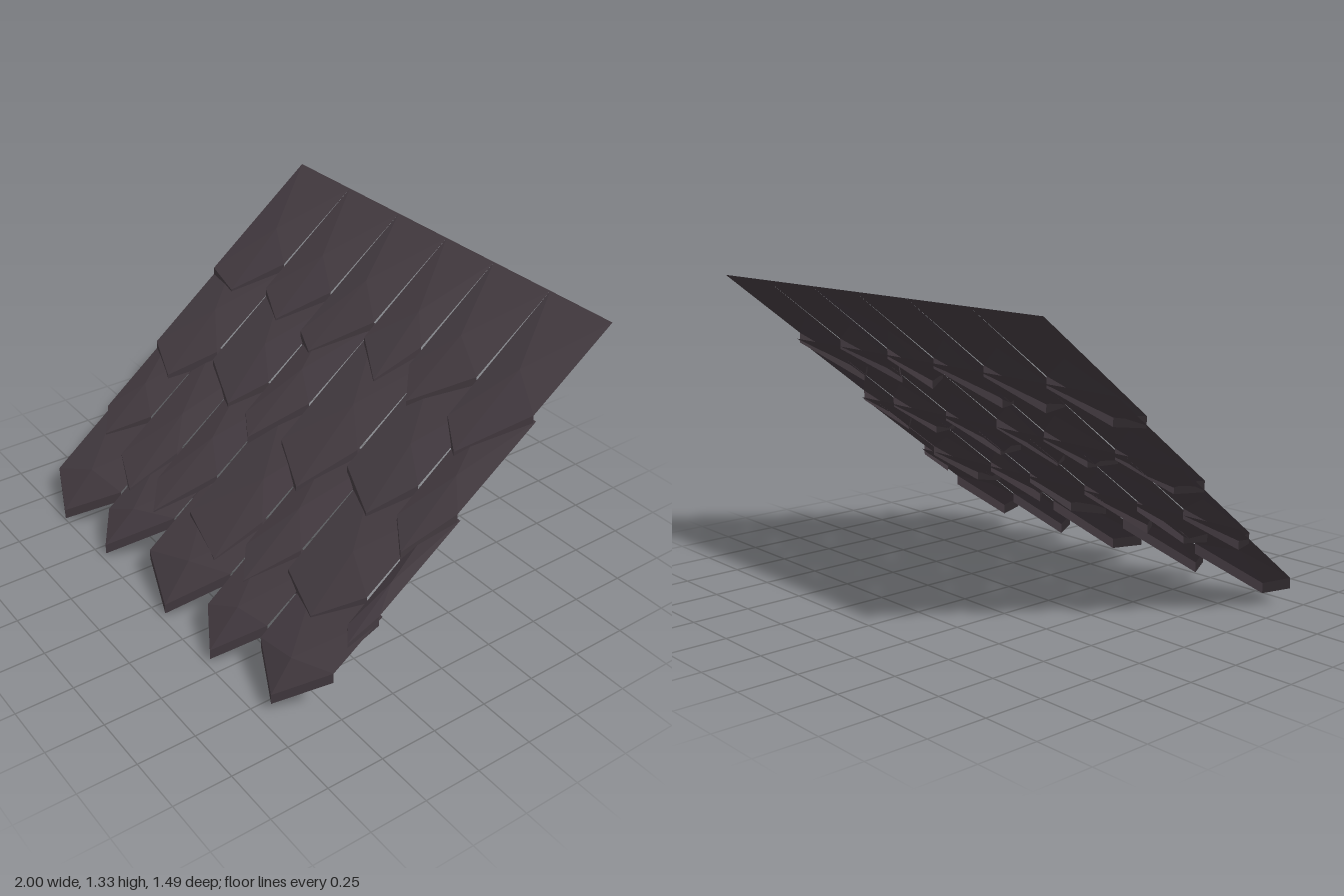
import * as THREE from 'three';

const PITCH = 0.775;   // drop per unit of depth along a shingle
const LIP = 0.045;     // height of the hanging front edge
const GAP = 0.006;     // inset of the lower corners, opens a tapering slit

// Each row: back edge (z, y), seams along x, and per shingle
// [left corner z, tip x, tip z, right corner z]
const ROWS = [
  { name: 'topRow', z: -0.745, y: 1.33, tipPitch: 0.785,
    seams: [-1, -0.625, -0.27, 0.05, 0.345, 0.67, 1],
    tiles: [[-0.23, -0.8, -0.2, -0.38], [-0.27, -0.44, -0.2, -0.38], [-0.21, -0.15, -0.17, -0.37],
      [-0.31, 0.25, -0.21, -0.38], [-0.31, 0.46, -0.21, -0.39], [-0.24, 0.81, -0.16, -0.38]] },
  { name: 'upperMiddleRow', z: -0.39, y: 1.02, tipPitch: 0.785,
    seams: [-1, -0.615, -0.23, 0.04, 0.415, 0.77, 1],
    tiles: [[0.1, -0.78, 0.17, 0], [0.03, -0.35, 0.12, -0.02], [0.11, -0.12, 0.17, -0.04],
      [0.11, 0.28, 0.2, -0.01], [0.05, 0.65, 0.13, -0.03], [0.08, 0.9, 0.16, -0.03]] },
  { name: 'lowerMiddleRow', z: -0.04, y: 0.71, tipPitch: 0.785,
    seams: [-1, -0.705, -0.415, -0.13, 0.243, 0.5, 0.9, 1],
    tiles: [[0.38, -0.88, 0.46, 0.31], [0.48, -0.51, 0.55, 0.35], [0.46, -0.3, 0.55, 0.32],
      [0.47, 0.16, 0.53, 0.34], [0.43, 0.36, 0.52, 0.33], [0.4, 0.74, 0.46, 0.31], [0.41, 0.96, 0.45, 0.33]] },
  { name: 'bottomRow', z: 0.31, y: 0.41, tipPitch: 0.83,
    seams: [-1, -0.553, -0.185, 0.272, 0.597, 0.99],
    tiles: [[0.66, -0.79, 0.745, 0.57], [0.64, -0.43, 0.73, 0.51], [0.645, 0.08, 0.73, 0.52],
      [0.64, 0.43, 0.73, 0.56], [0.6, 0.81, 0.695, 0.53]] },
];

// Pointed sheet fanned around a raised middle, with a lip hanging from its front edges
function shingleGeometry(row, x0, x1, [leftZ, tipX, tipZ, rightZ]) {
  const at = (x, z, pitch) => [x, row.y - (z - row.z) * pitch, z];
  const backLeft = [x0, row.y, row.z], backRight = [x1, row.y, row.z];
  const left = at(x0 + GAP, leftZ, PITCH);
  const tip = at(tipX, tipZ, row.tipPitch);
  const right = at(x1 - GAP, rightZ, PITCH);
  const middle = [((x0 + x1) / 2 + tipX) / 2, row.y - 0.19, row.z + 0.285];

  const corners = [];
  const rim = [backLeft, left, tip, right, backRight];
  rim.forEach((p, i) => corners.push(middle, p, rim[(i + 1) % rim.length]));

  const below = ([x, y, z]) => [x, Math.max(0, y - LIP), z];
  for (const [a, b] of [[left, tip], [tip, right]]) {
    corners.push(a, below(a), below(b), a, below(b), b);
  }
  const geometry = new THREE.BufferGeometry();
  geometry.setAttribute('position', new THREE.Float32BufferAttribute(corners.flat(), 3));
  geometry.computeVertexNormals();
  return geometry;
}

export function createModel() {
  const slate = new THREE.MeshStandardMaterial({ color: 0x443b41, flatShading: true, side: THREE.DoubleSide });
  slate.name = 'dark slate';

  const roof = new THREE.Group();
  roof.name = 'shingleRoof';
  for (const row of ROWS) {
    const group = new THREE.Group();
    group.name = row.name;
    row.tiles.forEach((tile, i) => {
      const mesh = new THREE.Mesh(shingleGeometry(row, row.seams[i], row.seams[i + 1], tile), slate);
      mesh.name = `shingle${i + 1}`;
      group.add(mesh);
    });
    roof.add(group);
  }
  return roof;
}
